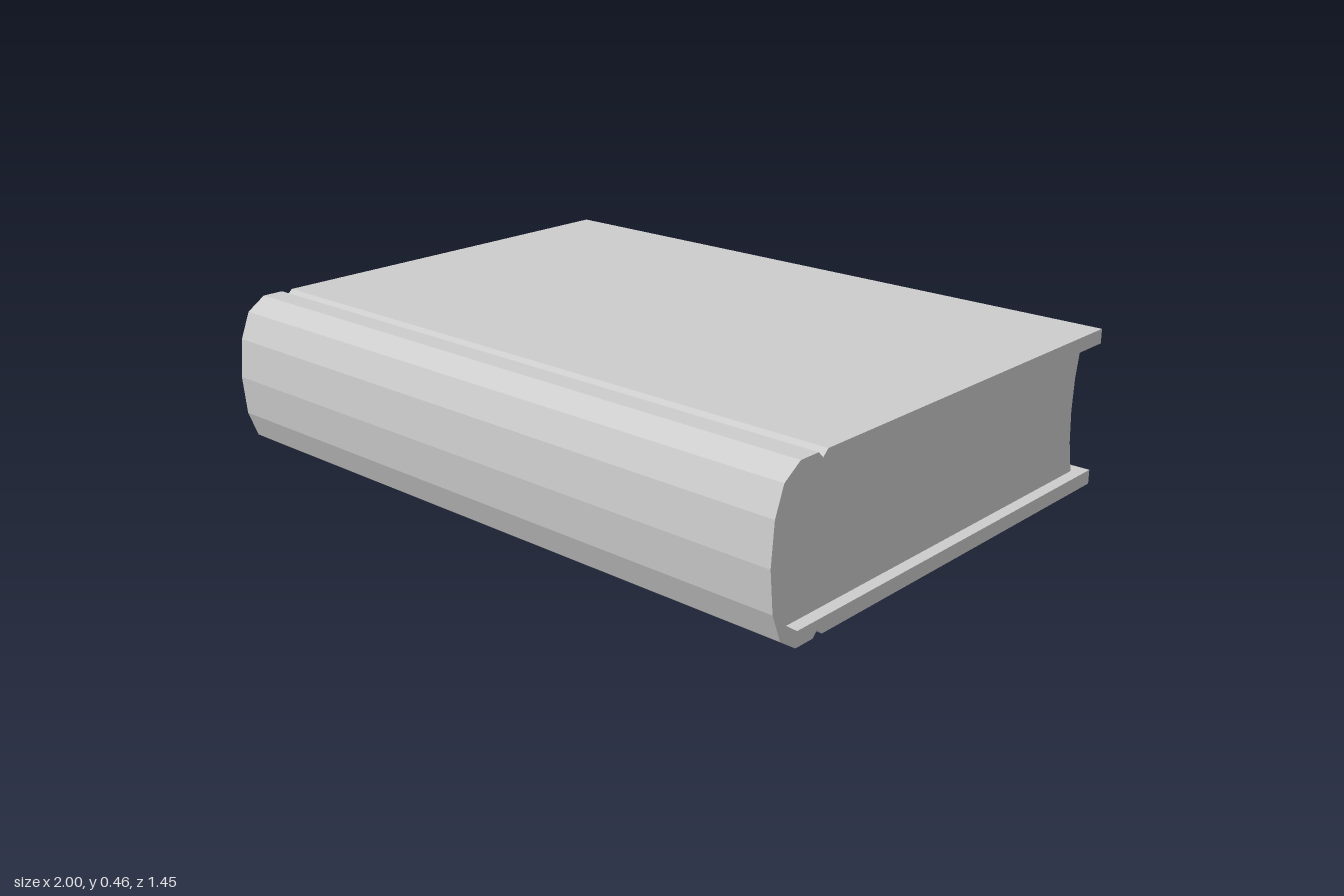
import * as THREE from 'three';

const HEIGHT = 0.46;

// Upper half of an outline, [z, y] pairs, mirrored about the mid height
const mirrorDown = (half) => half.map(([z, y]) => [z, HEIGHT - y]).reverse();

// Extrude a z/y outline along x, centred on x = 0
function extrudeAlongX(points, length, material, name) {
  const shape = new THREE.Shape(points.map(([z, y]) => new THREE.Vector2(z, y)));
  const geometry = new THREE.ExtrudeGeometry(shape, { depth: length, bevelEnabled: false });
  geometry.translate(0, 0, -length / 2);
  geometry.rotateY(-Math.PI / 2);
  const mesh = new THREE.Mesh(geometry, material);
  mesh.name = name;
  return mesh;
}

export function createModel() {
  const book = new THREE.Group();
  book.name = 'book';

  const grey = new THREE.MeshStandardMaterial({ color: 0xcccccc });
  grey.name = 'light grey';
  grey.flatShading = true;

  // Cover: boards with a hinge groove, running into the faceted spine
  const outer = [
    [-0.727, 0.46], [0.53, 0.46], [0.548, 0.443], [0.565, 0.46],
    [0.63, 0.46], [0.687, 0.422], [0.717, 0.345],
  ];
  const inner = [[0.625, 0.418], [0.668, 0.388], [0.695, 0.313]];
  const boardEdge = [-0.727, 0.418];
  const innerWall = [...inner, [0.702, 0.23], ...mirrorDown(inner)];
  const cover = [
    ...outer, [0.728, 0.23], ...mirrorDown(outer),
    ...mirrorDown([boardEdge]), ...innerWall.slice().reverse(), boardEdge,
  ];
  book.add(extrudeAlongX(cover, 2, grey, 'cover'));

  // Pages: rounded against the spine, hollow at the fore edge, inset at both ends
  const foreEdge = [[-0.682, 0.418], [-0.663, 0.325]];
  const pages = [...innerWall, ...mirrorDown(foreEdge), [-0.657, 0.23], ...foreEdge.slice().reverse()];
  // mirrorDown already reverses, so the lower fore edge runs from bottom to middle
  const lower = foreEdge.map(([z, y]) => [z, HEIGHT - y]);
  pages.splice(innerWall.length, lower.length, ...lower);
  book.add(extrudeAlongX(pages, 1.93, grey, 'pages'));

  return book;
}
